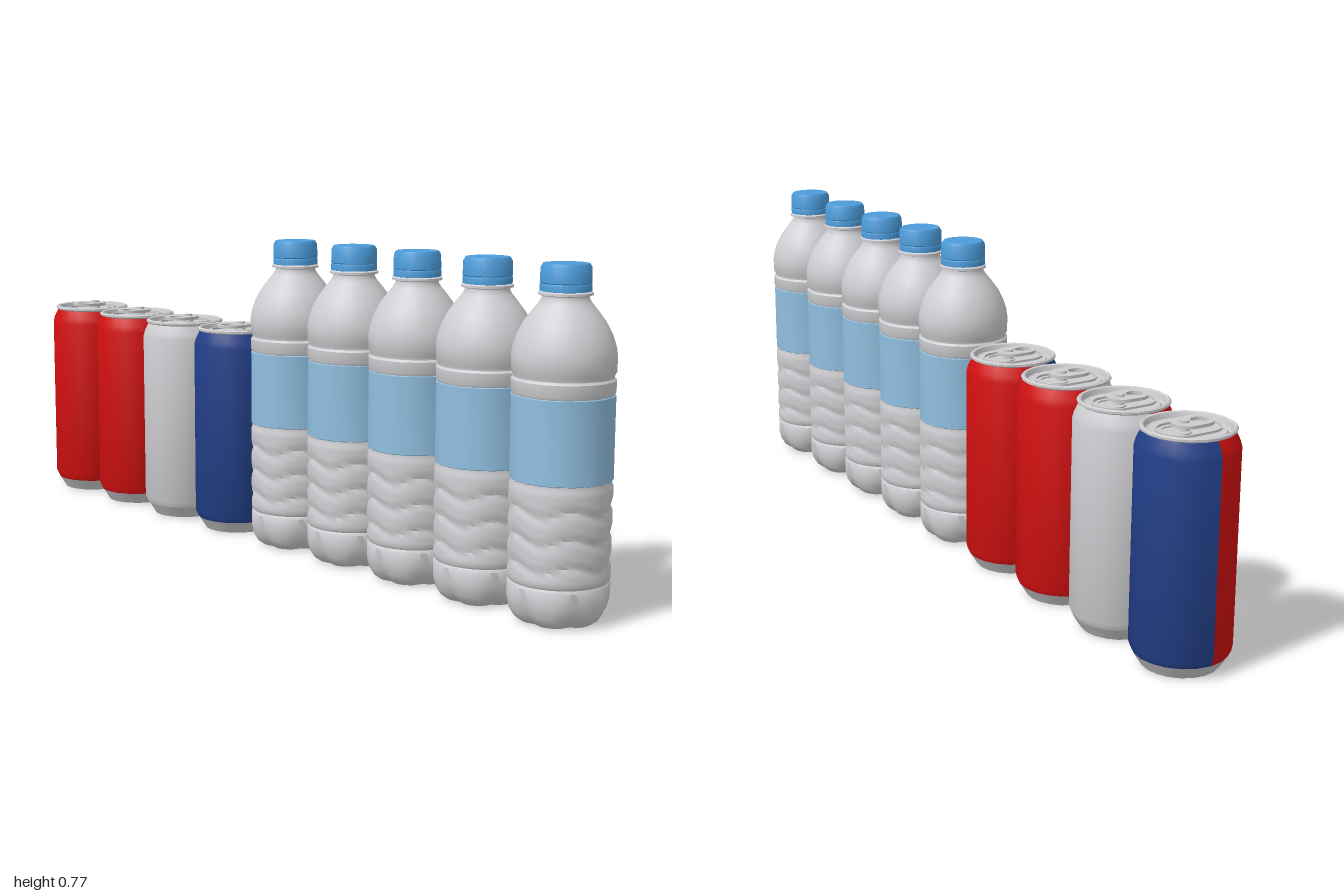
import * as THREE from 'three';
import { mergeVertices, toCreasedNormals } from 'three/addons/utils/BufferGeometryUtils.js';

const mat = (name, color) => {
  const m = new THREE.MeshStandardMaterial({ color });
  m.name = name;
  return m;
};

// Weld the seams, then keep sharp edges (scaled up so that small details stay distinct)
function crease(geo, angle = 0.65) {
  geo.deleteAttribute('uv');
  geo.deleteAttribute('normal');
  const welded = mergeVertices(geo, 1e-5).scale(100, 100, 100);
  return toCreasedNormals(welded, angle).scale(0.01, 0.01, 0.01);
}

function revolve(profile, segments, start = 0, length = Math.PI * 2) {
  return new THREE.LatheGeometry(profile.map(([r, y]) => new THREE.Vector2(r, y)), segments, start, length);
}

function addMesh(parent, name, geo, material) {
  const mesh = new THREE.Mesh(geo, material);
  mesh.name = name;
  parent.add(mesh);
  return mesh;
}

// Stadium outline with straight sides along y
function stadium(Type, w, y0, y1) {
  const s = new Type();
  s.absarc(0, y1 - w, w, 0, Math.PI, false);
  s.absarc(0, y0 + w, w, Math.PI, Math.PI * 2, false);
  s.closePath();
  return s;
}

function plate(shape, depth, y) {
  return new THREE.ExtrudeGeometry(shape, { depth, bevelEnabled: false, curveSegments: 8 })
    .rotateX(-Math.PI / 2).translate(0, y, 0);
}

// Lower bottle: wavy ribs, and a lobed foot
function lowerBody() {
  const profile = [[0, 0.012], [0.04, 0.008], [0.082, 0], [0.096, 0.01], [0.106, 0.026], [0.111, 0.05],
    [0.111, 0.084], [0.107, 0.09], [0.111, 0.096]];
  for (let i = 1; i <= 20; i++) profile.push([0.111, 0.096 + i * 0.0101]);
  profile.push([0.108, 0.305], [0.108, 0.312]);
  const geo = revolve(profile, 48);
  const p = geo.attributes.position;
  for (let i = 0; i < p.count; i++) {
    const x = p.getX(i), y = p.getY(i), z = p.getZ(i);
    const a = Math.atan2(x, z);
    let k = 1;
    if (y < 0.06 && Math.hypot(x, z) > 0.06) {
      k -= 0.13 * (1 - y / 0.06) * Math.pow(Math.abs(Math.cos(a * 3)), 5);
    } else if (y > 0.1 && y < 0.3) {
      const fade = Math.min(1, (y - 0.1) / 0.03, (0.3 - y) / 0.02);
      const wave = Math.cos((y - 0.13 + 0.009 * Math.sin(a * 5)) / 0.06 * Math.PI * 2);
      k -= 0.045 * fade * Math.pow(Math.max(0, wave), 2);
    }
    p.setXYZ(i, x * k, y, z * k);
  }
  return crease(geo);
}

export function createModel() {
  const red = mat('red', 0xd41010);
  const blue = mat('dark blue', 0x223f88);
  const white = mat('light grey paint', 0xd0d0d4);
  const metal = mat('can metal', 0xcccccf);
  const plastic = mat('bottle plastic', 0xd0d0d4);
  const labelBlue = mat('label blue', 0x90bfe0);
  const capBlue = mat('cap blue', 0x4c9cda);

  const model = new THREE.Group();
  model.name = 'drinksRow';

  // Can geometry: painted half shells, metal ends, pull tab
  const shell = [[0.105, 0.03], [0.112, 0.045], [0.112, 0.487], [0.108, 0.502], [0.098, 0.523]];
  const frontShell = crease(revolve(shell, 10, -Math.PI / 2, Math.PI));
  const backShell = crease(revolve(shell, 10, Math.PI / 2, Math.PI));
  const canBottom = crease(revolve([[0, 0], [0.086, 0], [0.091, 0.008], [0.105, 0.03]], 20));
  const canLid = crease(revolve([[0.098, 0.523], [0.103, 0.526], [0.103, 0.531], [0.099, 0.534],
    [0.094, 0.532], [0.09, 0.52], [0.084, 0.518], [0.08, 0.523], [0, 0.523]], 20));

  const ridgeShape = stadium(THREE.Shape, 0.05, -0.076, 0.076);
  ridgeShape.holes.push(stadium(THREE.Path, 0.046, -0.072, 0.072));
  const ridge = plate(ridgeShape, 0.006, 0.522);

  const tabShape = stadium(THREE.Shape, 0.034, -0.058, 0.04);
  tabShape.holes.push(stadium(THREE.Path, 0.017, -0.048, -0.008));
  const tab = plate(tabShape, 0.007, 0.533);

  const mouthShape = stadium(THREE.Shape, 0.033, 0, 0.067);
  mouthShape.holes.push(stadium(THREE.Path, 0.029, 0.004, 0.063));
  const mouth = plate(mouthShape, 0.004, 0.522);
  const rivet = new THREE.CylinderGeometry(0.011, 0.013, 0.022, 10).translate(0, 0.534, -0.012);

  const cans = [[-0.888, red, blue], [-0.663, red, white], [-0.44, white, red], [-0.213, blue, red]];
  cans.forEach(([x, front, back], i) => {
    const can = new THREE.Group();
    can.name = `can${i + 1}`;
    can.position.x = x;
    addMesh(can, 'frontShell', frontShell, front);
    addMesh(can, 'backShell', backShell, back);
    addMesh(can, 'canBottom', canBottom, metal);
    addMesh(can, 'canLid', canLid, metal);
    addMesh(can, 'lidRidge', ridge, metal);
    addMesh(can, 'pullTab', tab, metal);
    addMesh(can, 'mouthRidge', mouth, metal);
    addMesh(can, 'rivet', rivet, metal);
    model.add(can);
  });

  // Bottle geometry: lower body, label, shoulder with neck, screw cap
  const lower = lowerBody();
  const label = crease(revolve([[0.108, 0.311], [0.111, 0.313], [0.111, 0.493], [0.108, 0.495]], 20));
  const shoulder = crease(revolve([[0.108, 0.494], [0.111, 0.5], [0.111, 0.526], [0.107, 0.531], [0.107, 0.535],
    [0.111, 0.542], [0.112, 0.575], [0.109, 0.595], [0.1, 0.622], [0.087, 0.647], [0.07, 0.67], [0.056, 0.687],
    [0.05, 0.697], [0.05, 0.702], [0.058, 0.704], [0.058, 0.709], [0.05, 0.712]], 28));
  const cap = crease(revolve([[0.05, 0.711], [0.055, 0.712], [0.055, 0.726], [0.0535, 0.728], [0.055, 0.73],
    [0.054, 0.762], [0.049, 0.77], [0, 0.77]], 24));

  [0.02, 0.235, 0.448, 0.666, 0.888].forEach((x, i) => {
    const bottle = new THREE.Group();
    bottle.name = `bottle${i + 1}`;
    bottle.position.x = x;
    addMesh(bottle, 'lowerBody', lower, plastic);
    addMesh(bottle, 'label', label, labelBlue);
    addMesh(bottle, 'shoulder', shoulder, plastic);
    addMesh(bottle, 'cap', cap, capBlue);
    model.add(bottle);
  });

  return model;
}
